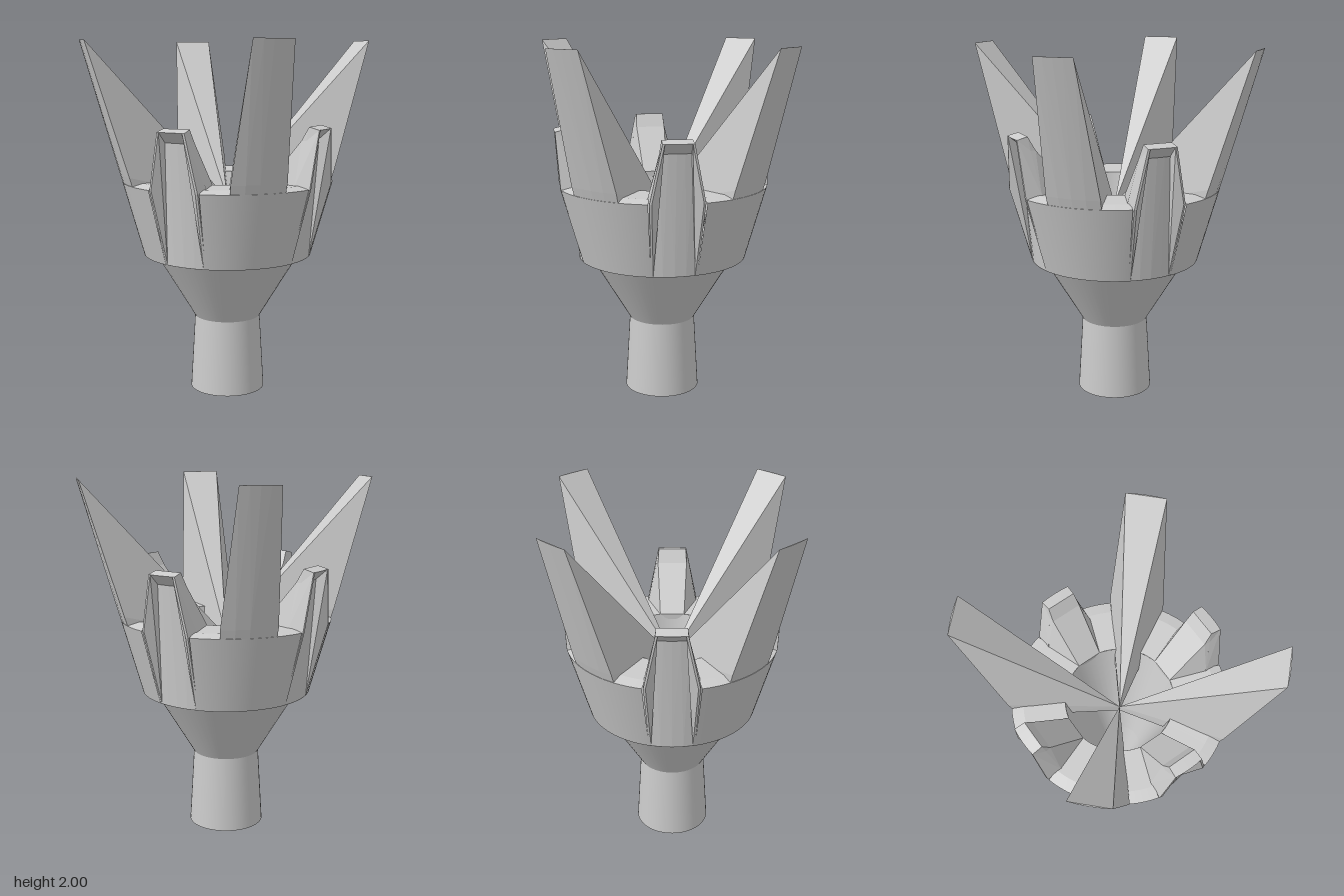
import * as THREE from 'three';
import { ConvexGeometry } from 'three/addons/geometries/ConvexGeometry.js';

const material = new THREE.MeshStandardMaterial({ color: 0xcccccc, side: THREE.DoubleSide });
const QUARTER = Math.PI / 2;
const GROOVE = THREE.MathUtils.degToRad(15); // half angle of the groove below each tooth

// Outer cone shared by the cup wall and the tall prongs
const wallRadius = (y) => 0.478 + (y - 0.8) * 0.281;

function add(parent, name, geometry) {
  const mesh = new THREE.Mesh(geometry, material);
  mesh.name = name;
  parent.add(mesh);
  return mesh;
}

// One revolved band between two [radius, y] points, so that edges between bands stay sharp
function band(parent, name, a, b, segments = 48, start = 0, length = Math.PI * 2) {
  const points = [new THREE.Vector2(...a), new THREE.Vector2(...b)];
  return add(parent, name, new THREE.LatheGeometry(points, segments, start, length));
}

// Points along an arc of radius r at height y, reaching halfWidth to each side of +z
function arc(r, y, halfWidth) {
  return [-1, -0.5, 0, 0.5, 1].map((u) => {
    const x = u * halfWidth;
    return new THREE.Vector3(x, y, Math.sqrt(r * r - x * x));
  });
}

// Thin plate beside a tooth, given as [radius, y, distance from the tooth's middle plane]
function cheekGeometry(side) {
  const outline = [
    [0.476, 0.8, 0.125], [0.596, 1.22, 0.147], [0.605, 1.53, 0.083],
    [0.535, 1.47, 0.09], [0.505, 1.22, 0.147],
  ];
  return new ConvexGeometry(outline.flatMap(([r, y, x]) =>
    [x, x - 0.012].map((d) => new THREE.Vector3(side * d, y, Math.sqrt(r * r - d * d)))));
}

export function createModel() {
  const model = new THREE.Group();
  model.name = 'crownHead';

  // Stem and funnel, open at the foot
  band(model, 'stem', [0.213, 0], [0.188, 0.43]);
  band(model, 'funnel', [0.188, 0.43], [0.412, 0.8]);
  band(model, 'cupUnderside', [0.412, 0.8], [0.478, 0.8]);

  // Inner bowl narrowing to a small blunt tip inside the stem
  band(model, 'cupBowl', [0.3, 1.23], [0.12, 0.43]);
  band(model, 'bowlTip', [0.12, 0.43], [0.03, 0.1]);
  band(model, 'bowlTipEnd', [0.03, 0.1], [0, 0.1]);

  // Tall wedge prong, its inner face running down to the axis
  const prong = new ConvexGeometry([
    ...arc(wallRadius(2), 2, 0.106),
    ...arc(wallRadius(1.27), 1.27, 0.153),
    ...arc(wallRadius(1.12) - 0.005, 1.12, 0.145),
    new THREE.Vector3(0, 1.11, 0),
    new THREE.Vector3(0, 1.05, 0),
  ]);

  // Short tooth: recessed column with a sloped inner face
  const toothBody = new ConvexGeometry([
    ...arc(0.476, 0.8, 0.125),
    ...arc(0.51, 1.23, 0.145),
    ...arc(0.535, 1.47, 0.09),
    ...arc(0.505, 1.47, 0.085),
    ...arc(0.3, 1.23, 0.07),
    ...arc(0.3, 1.2, 0.07),
  ]);

  // Overhanging lip at the top of the tooth
  const toothLip = new ConvexGeometry([
    ...arc(0.535, 1.47, 0.09),
    ...arc(0.505, 1.47, 0.085),
    ...arc(0.605, 1.53, 0.083),
    ...arc(0.545, 1.545, 0.08),
  ]);
  const cheeks = [cheekGeometry(1), cheekGeometry(-1)];

  for (let i = 0; i < 4; i++) {
    const angle = i * QUARTER;
    add(model, 'tallProng', prong).rotation.y = angle;

    // Flared wall and bevelled rim between two grooves
    const sector = [16, angle - QUARTER / 2 + GROOVE, QUARTER - 2 * GROOVE];
    band(model, 'cupWall', [0.478, 0.8], [wallRadius(1.22), 1.22], ...sector);
    band(model, 'cupRimBevel', [wallRadius(1.22), 1.22], [0.53, 1.235], ...sector);
    band(model, 'cupRim', [0.53, 1.235], [0.3, 1.23], ...sector);

    const tooth = new THREE.Group();
    tooth.name = 'shortTooth';
    add(tooth, 'toothBody', toothBody);
    add(tooth, 'toothLip', toothLip);
    cheeks.forEach((cheek) => add(tooth, 'toothCheek', cheek));
    // Rim strip closing the inside edge next to the tooth
    band(tooth, 'toothRim', [0.5, 1.234], [0.3, 1.23], 8, -GROOVE, 2 * GROOVE);
    tooth.rotation.y = angle + QUARTER / 2;
    model.add(tooth);
  }
  return model;
}
